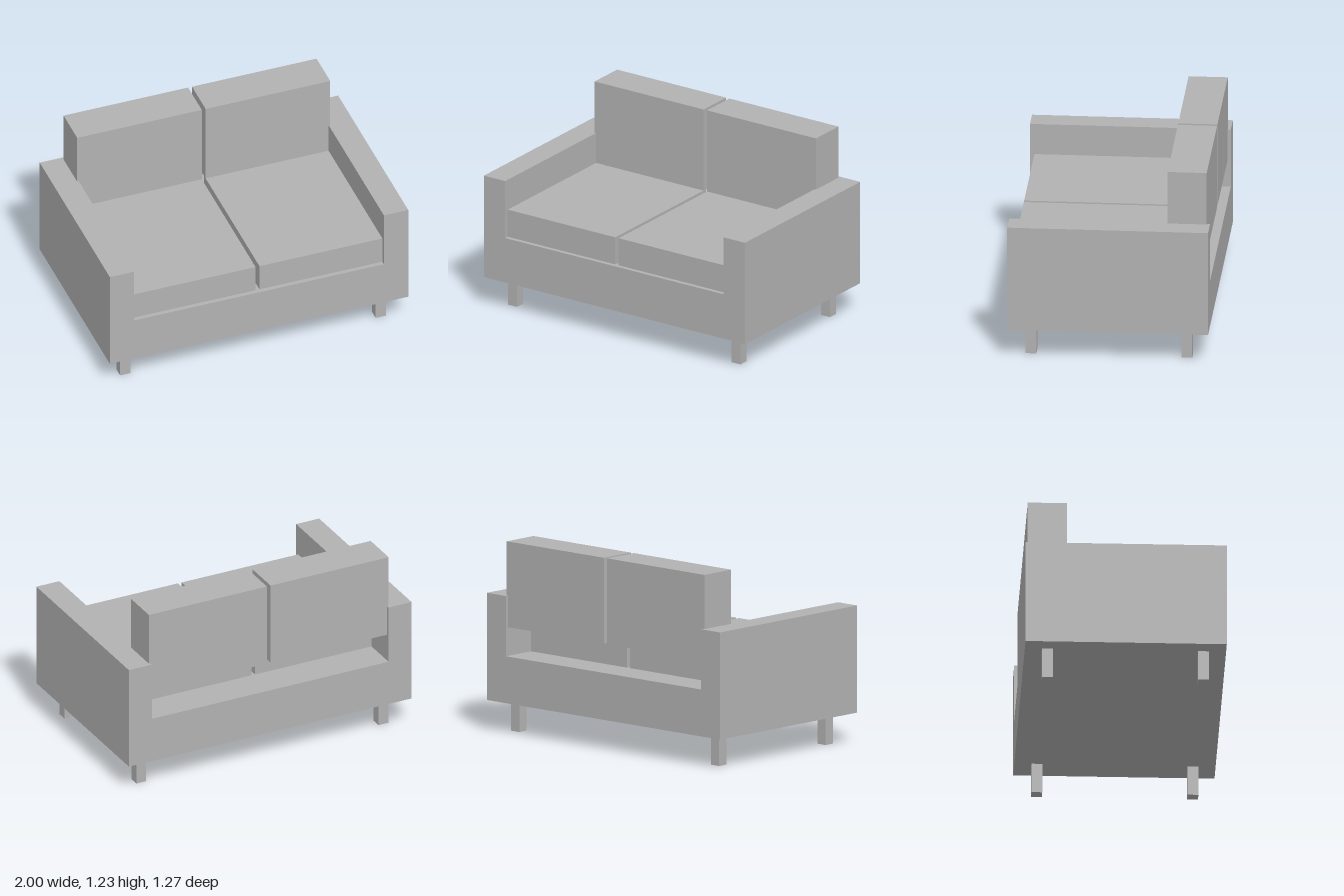
import * as THREE from 'three';

export function createModel() {
  const group = new THREE.Group();
  group.name = 'sofa';
  const grey = new THREE.MeshStandardMaterial({ color: 0xb2b2b2 });
  grey.name = 'plain grey';

  // Box given by its minimum and maximum on each axis
  function box(name, [x0, x1], [y0, y1], [z0, z1]) {
    const mesh = new THREE.Mesh(new THREE.BoxGeometry(x1 - x0, y1 - y0, z1 - z0), grey);
    mesh.position.set((x0 + x1) / 2, (y0 + y1) / 2, (z0 + z1) / 2);
    mesh.name = name;
    group.add(mesh);
  }

  // Base and both arms as one U-shaped body
  const depth = 1.266, bottom = 0.197, deck = 0.497, armTop = 0.882, inner = 0.837;
  const profile = new THREE.Shape([
    [-1, bottom], [1, bottom], [1, armTop], [inner, armTop],
    [inner, deck], [-inner, deck], [-inner, armTop], [-1, armTop],
  ].map(([x, y]) => new THREE.Vector2(x, y)));
  const body = new THREE.Mesh(
    new THREE.ExtrudeGeometry(profile, { depth, bevelEnabled: false }), grey);
  body.position.z = -depth / 2;
  body.name = 'baseAndArms';
  group.add(body);

  for (const side of [-1, 1]) {
    const label = side > 0 ? 'left' : 'right';
    const span = (a, b) => (side > 0 ? [a, b] : [-b, -a]);

    // Seat and back cushions, with a narrow gap in the middle
    box(label + 'SeatCushion', span(0.013, inner), [deck, 0.68], [-0.4, 0.605]);
    box(label + 'BackCushion', span(0.013, 0.848), [0.68, 1.228], [-0.613, -0.366]);

    // Square legs
    box(label + 'FrontLeg', span(0.822, 0.891), [0, bottom], [0.457, 0.525]);
    box(label + 'BackLeg', span(0.822, 0.891), [0, bottom], [-0.525, -0.457]);
  }
  return group;
}
